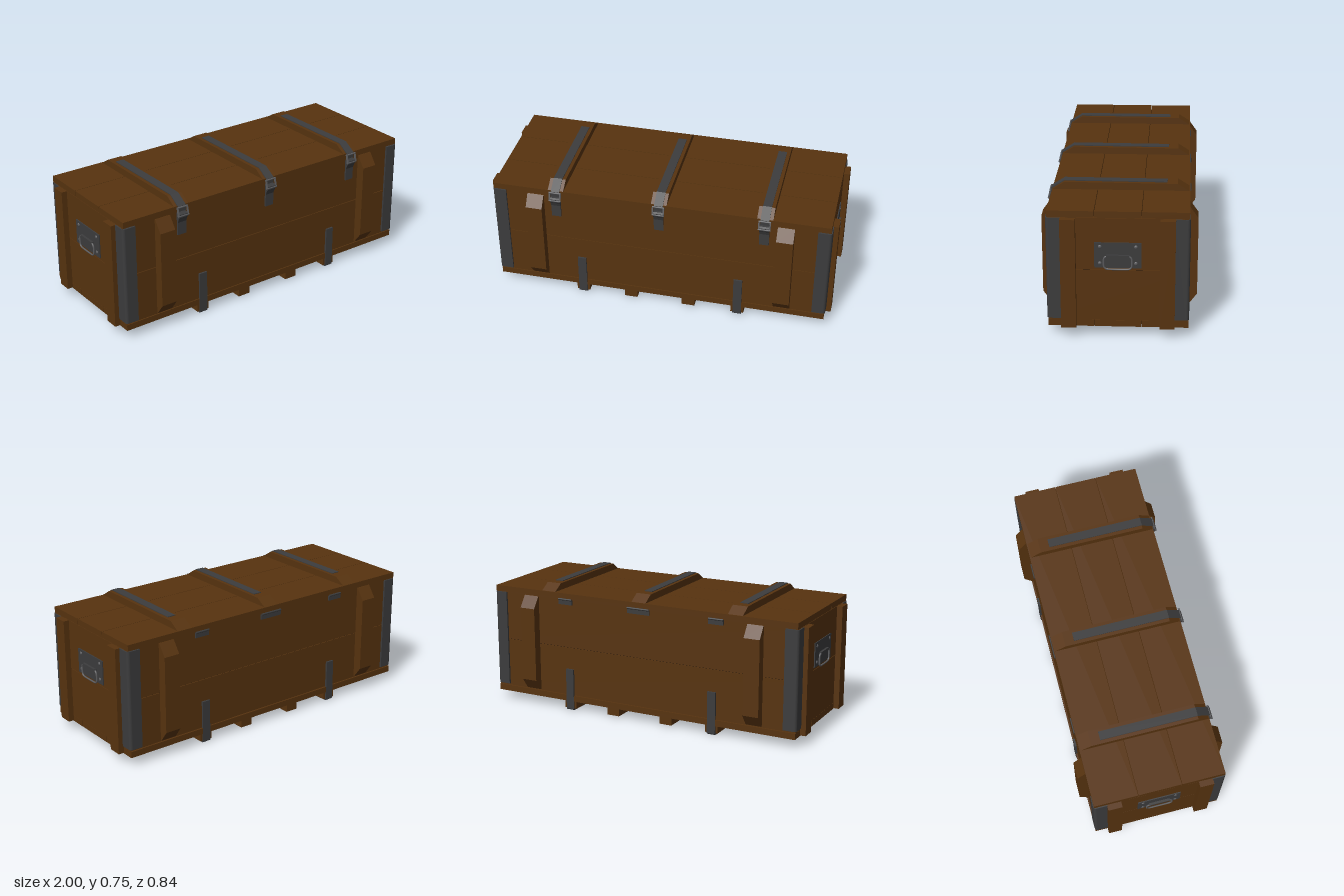
import * as THREE from 'three';

const wood = new THREE.MeshStandardMaterial({ color: 0x57330f });
wood.name = 'wood';
const seam = new THREE.MeshStandardMaterial({ color: 0x241406 });
seam.name = 'dark seam';
const metal = new THREE.MeshStandardMaterial({ color: 0x3c3c3d });
metal.name = 'dark metal';
const steel = new THREE.MeshStandardMaterial({ color: 0x5c5c5e });
steel.name = 'worn steel';

function add(parent, name, geometry, material, x = 0, y = 0, z = 0) {
  const mesh = new THREE.Mesh(geometry, material);
  mesh.name = name;
  mesh.position.set(x, y, z);
  parent.add(mesh);
  return mesh;
}

// Box given by its lower and upper corners
function block(parent, name, material, a, b) {
  const s = b.map((v, i) => v - a[i]);
  return add(parent, name, new THREE.BoxGeometry(...s), material, ...a.map((v, i) => v + s[i] / 2));
}

// Outline of [z, y] points, extruded to a width along x
function profile(points, width) {
  const shape = new THREE.Shape(points.map(p => new THREE.Vector2(...p)));
  const g = new THREE.ExtrudeGeometry(shape, { depth: width, bevelEnabled: false });
  return g.translate(0, 0, -width / 2).rotateY(-Math.PI / 2);
}

// Rounded rectangular ring in the zy plane
function ring(w, h, r, tube) {
  const pts = [];
  [[1, 1], [-1, 1], [-1, -1], [1, -1]].forEach(([sz, sy], i) => {
    for (let k = 0; k <= 4; k++) {
      const a = (i + k / 4) * Math.PI / 2;
      pts.push(new THREE.Vector3(0, sy * (h / 2 - r) + r * Math.sin(a), sz * (w / 2 - r) + r * Math.cos(a)));
    }
  });
  return new THREE.TubeGeometry(new THREE.CatmullRomCurve3(pts, true, 'centripetal'), 64, tube, 8, true);
}

// L-shaped corner guard with a rounded outer edge
function guardGeometry() {
  const s = new THREE.Shape();
  s.moveTo(-0.078, 0);
  s.lineTo(-0.078, -0.015);
  s.lineTo(-0.015, -0.015);
  s.lineTo(-0.015, -0.078);
  s.lineTo(0, -0.078);
  s.lineTo(0, -0.016);
  s.absarc(-0.016, -0.016, 0.016, 0, Math.PI / 2, false);
  const g = new THREE.ExtrudeGeometry(s, { depth: 0.57, bevelEnabled: false, curveSegments: 6 });
  return g.rotateX(Math.PI / 2);
}

export function createModel() {
  const model = new THREE.Group();
  model.name = 'crate';

  // Body: two courses of boards around a dark core
  block(model, 'core', seam, [-0.962, 0.091, -0.36], [0.962, 0.669, 0.36]);
  block(model, 'lowerBoards', wood, [-0.967, 0.09, -0.365], [0.967, 0.379, 0.365]);
  block(model, 'upperBoards', wood, [-0.967, 0.382, -0.365], [0.967, 0.67, 0.365]);

  // Lid and floor planks
  for (const [z0, z1] of [[-0.373, -0.125], [-0.122, 0.122], [0.125, 0.37]]) {
    block(model, 'lidPlank', wood, [-0.967, 0.672, z0], [0.967, 0.707, z1]);
    block(model, 'floorPlank', wood, [-0.967, 0.053, z0], [0.967, 0.089, z1]);
  }

  // Chamfered battens on front and back
  const sideBatten = profile([[0.36, 0.095], [0.37, 0.095], [0.418, 0.16], [0.418, 0.6], [0.37, 0.668], [0.36, 0.668]], 0.095);
  for (const x of [-0.72, 0.72]) {
    add(model, 'frontBatten', sideBatten, wood, x);
    add(model, 'backBatten', sideBatten, wood, x).rotation.y = Math.PI;
  }

  // Corner guards
  const guard = guardGeometry();
  for (const [sx, sz, turn] of [[1, 1, 0], [-1, 1, -1], [1, -1, 1], [-1, -1, 2]]) {
    add(model, 'cornerGuard', guard, metal, sx * 0.973, 0.669, sz * 0.376).rotation.y = turn * Math.PI / 2;
  }

  // End battens, handle plates and handles
  for (const side of [1, -1]) {
    const end = new THREE.Group();
    end.name = side > 0 ? 'leftEnd' : 'rightEnd';
    end.rotation.y = side > 0 ? 0 : Math.PI;
    model.add(end);
    for (const z of [-0.26, 0.26]) {
      block(end, 'endBatten', wood, [0.96, 0.057, z - 0.04], [1, 0.669, z + 0.04]);
    }
    block(end, 'handlePlate', metal, [0.964, 0.395, -0.123], [0.973, 0.536, 0.123]);
    for (const z of [-0.094, 0.094]) {
      for (const y of [0.421, 0.514]) {
        const rivet = add(end, 'rivet', new THREE.SphereGeometry(0.01, 12, 8), steel, 0.973, y, z);
        rivet.scale.x = 0.5;
      }
    }
    block(end, 'handleMount', metal, [0.97, 0.456, -0.06], [0.986, 0.47, 0.06]);
    add(end, 'handle', ring(0.147, 0.072, 0.02, 0.005), steel, 0.981, 0.427, 0);
  }

  // Lid battens with metal straps and front latches
  const lidBatten = profile([[-0.37, 0.705], [0.37, 0.705], [0.305, 0.748], [-0.305, 0.746]], 0.09);
  const lidStrap = profile([[-0.25, 0.74], [0.3, 0.742], [0.366, 0.7], [0.366, 0.675], [0.379, 0.675],
    [0.379, 0.706], [0.306, 0.752], [-0.25, 0.75]], 0.05);
  const latchLever = profile([[0.366, 0.535], [0.374, 0.535], [0.376, 0.61], [0.386, 0.635], [0.394, 0.645],
    [0.394, 0.662], [0.384, 0.668], [0.366, 0.668]], 0.055);
  for (const x of [-0.6, 0, 0.6]) {
    add(model, 'lidBatten', lidBatten, wood, x);
    add(model, 'lidStrap', lidStrap, metal, x);
    add(model, 'latchLever', latchLever, metal, x);
    const bar = new THREE.CylinderGeometry(0.005, 0.005, 0.07, 10).rotateZ(Math.PI / 2);
    add(model, 'latchBar', bar, steel, x, 0.7, 0.381);
    add(model, 'latchPin', bar, steel, x, 0.653, 0.392);
    for (const dx of [-0.031, 0.031]) {
      const link = add(model, 'latchLink', new THREE.BoxGeometry(0.008, 0.052, 0.008), steel, x + dx, 0.676, 0.3865);
      link.rotation.x = -0.23;
    }
  }

  // Rear hinges
  for (const [x, w] of [[-0.485, 0.09], [0, 0.14], [0.485, 0.09]]) {
    block(model, 'hingeLeaf', metal, [x - w / 2, 0.64, -0.374], [x + w / 2, 0.672, -0.36]);
    const knuckle = new THREE.CylinderGeometry(0.006, 0.006, w, 10).rotateZ(Math.PI / 2);
    add(model, 'hingeKnuckle', knuckle, metal, x, 0.671, -0.374);
  }

  // Skids, the outer pair wrapped by metal straps
  const wrap = profile([[0.365, 0.25], [0.365, 0.009], [-0.365, 0.009], [-0.365, 0.25], [-0.376, 0.25],
    [-0.376, 0.006], [-0.37, 0], [0.37, 0], [0.376, 0.006], [0.376, 0.25]], 0.05);
  for (const x of [-0.463, -0.172, 0.172, 0.463]) {
    block(model, 'skid', wood, [x - 0.038, 0.009, -0.369], [x + 0.038, 0.054, 0.369]);
    if (Math.abs(x) > 0.4) add(model, 'skidStrap', wrap, metal, x);
  }
  return model;
}
